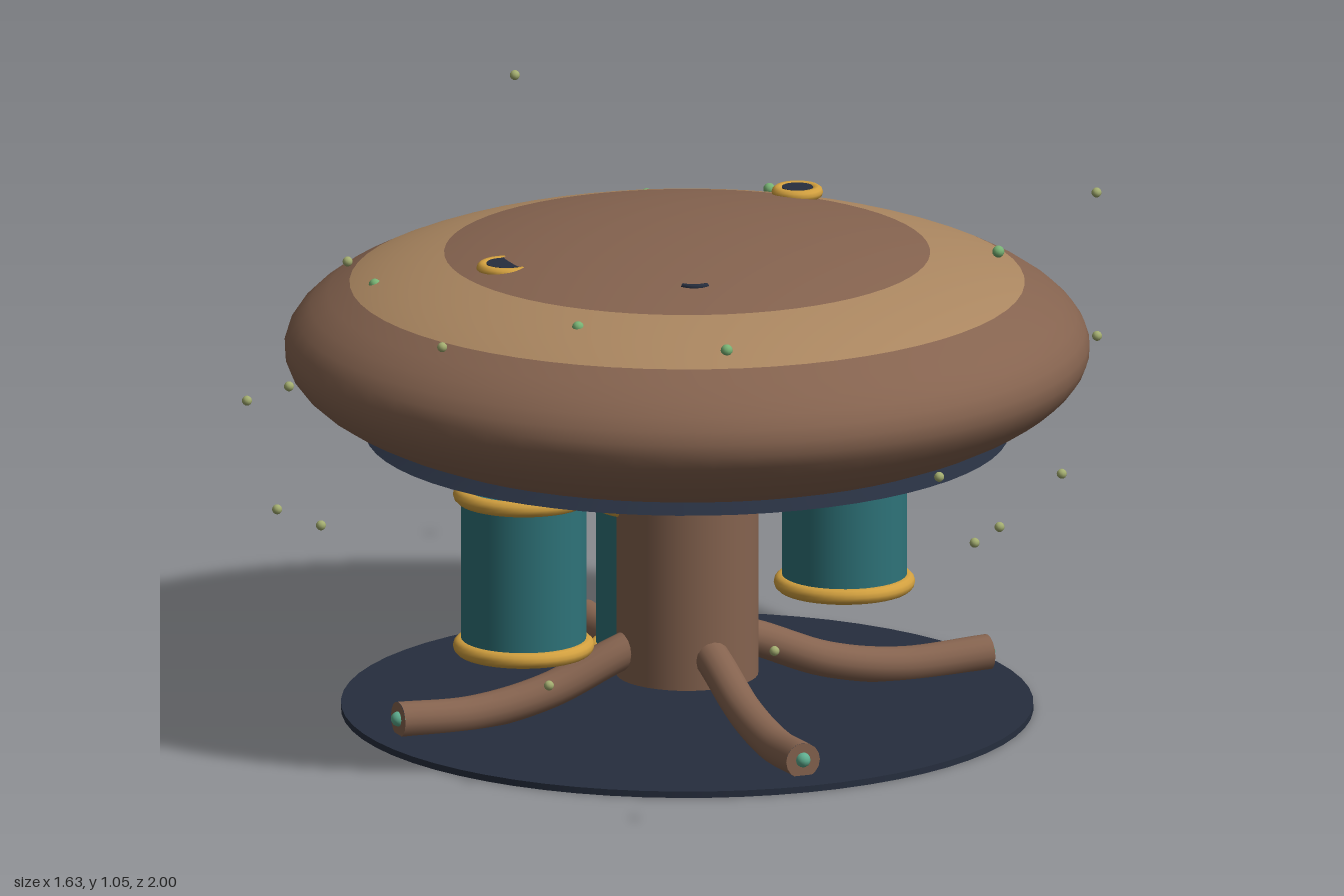
import * as THREE from 'three';

const paint = (name, color, side = THREE.FrontSide) => {
  const m = new THREE.MeshStandardMaterial({ color, side });
  m.name = name;
  return m;
};

export function createModel() {
  const model = new THREE.Group();
  const brown = paint('bark brown', 0x85634f);
  const tan = paint('tan', 0xaa8660);
  const navy = paint('dark navy', 0x262e3e);
  const teal = paint('teal', 0x2e7379);
  const gold = paint('gold', 0xd2a03f);
  const mint = paint('mint', 0x5fae90);
  const green = paint('spore green', 0x78b274);
  const olive = paint('spore olive', 0xa3ad70);

  const body = new THREE.Group();
  body.name = 'mushroom';
  body.position.set(0.007, 0, -0.02);
  model.add(body);

  const add = (parent, name, geometry, material, x = 0, y = 0, z = 0) => {
    const mesh = new THREE.Mesh(geometry, material);
    mesh.name = name;
    mesh.position.set(x, y, z);
    parent.add(mesh);
    return mesh;
  };

  // Cap: one flattened ball, cut into coloured bands by height
  const capR = 0.797, capH = 0.242, capY = 0.748;
  const capBand = (name, y0, y1, material) => {
    const a0 = Math.asin((y0 - capY) / capH), a1 = Math.asin((y1 - capY) / capH);
    const points = [];
    for (let i = 0; i <= 20; i++) {
      const a = a0 + (a1 - a0) * i / 20;
      points.push(new THREE.Vector2(Math.max(0, capR * Math.cos(a)), capY + capH * Math.sin(a)));
    }
    add(body, name, new THREE.LatheGeometry(points, 64), material);
  };
  capBand('capLower', capY - capH, 0.88, brown);
  capBand('capBand', 0.88, 0.941, tan);
  capBand('capTop', 0.941, capY + capH, brown);

  // Collar under the cap, stem and ground disc
  add(body, 'collar', new THREE.CylinderGeometry(0.6, 0.637, 0.02, 64), navy, 0, 0.582, 0);
  add(body, 'stem', new THREE.CylinderGeometry(0.141, 0.141, 0.47, 40), brown, 0, 0.315, 0);
  add(body, 'groundDisc', new THREE.CylinderGeometry(0.685, 0.685, 0.013, 64), navy, 0, 0.0135, 0);

  // Roots: sagging tubes with a small bud at the tip
  const rootTips = [[0.635, 0.15], [-0.16, 0.585], [-0.605, -0.15], [0.165, -0.55]];
  for (const [x, z] of rootTips) {
    const len = Math.hypot(x, z);
    const root = new THREE.Group();
    root.name = 'root';
    root.rotation.y = Math.atan2(-z, x);
    const path = new THREE.CatmullRomCurve3([
      [0.04, 0.17], [0.15, 0.135], [0.3, 0.075], [0.46, 0.046], [len, 0.05],
    ].map(([r, y]) => new THREE.Vector3(r, y, 0)));
    add(root, 'rootTube', new THREE.TubeGeometry(path, 32, 0.036, 16), brown);
    add(root, 'rootEnd', new THREE.CircleGeometry(0.036, 16), brown, len, 0.05, 0).rotation.y = Math.PI / 2;
    add(root, 'rootBud', new THREE.SphereGeometry(0.015, 12, 8), mint, len, 0.052, 0);
    body.add(root);
  }

  // Hanging lanterns with gold rims, each on a sagging vine
  const lanterns = [[-0.4, 0.355, -0.01], [0.4, 0.355, -0.01], [0, 0.265, -0.093]];
  for (const [x, y, z] of lanterns) {
    const lantern = new THREE.Group();
    lantern.name = 'lantern';
    lantern.position.set(x, y, z);
    add(lantern, 'lanternBody', new THREE.CylinderGeometry(0.124, 0.124, 0.31, 40), teal);
    for (const s of [-1, 1]) {
      add(lantern, 'lanternRim', new THREE.TorusGeometry(0.124, 0.016, 12, 40), gold, 0, s * 0.155, 0)
        .rotation.x = Math.PI / 2;
    }
    body.add(lantern);
    const vine = new THREE.QuadraticBezierCurve3(
      new THREE.Vector3(0, 0.53, 0),
      new THREE.Vector3(x * 0.55, 0.475, z * 0.5),
      new THREE.Vector3(x, y + 0.185, z));
    add(body, 'vine', new THREE.TubeGeometry(vine, 24, 0.019, 10), mint);
  }

  // Eyes lying on the cap, the second sunk on its inner side
  const eye = (x, y, z, r, tilt) => {
    const g = new THREE.Group();
    g.name = 'eye';
    g.position.set(x, y, z);
    g.rotation.z = tilt;
    add(g, 'eyeRim', new THREE.TorusGeometry(r, 0.012, 10, 32), gold).rotation.x = Math.PI / 2;
    add(g, 'pupil', new THREE.CylinderGeometry(r - 0.008, r - 0.008, 0.009, 24), navy, 0, 0.006, 0);
    model.add(g);
  };
  eye(0.433, 0.953, -0.217, 0.039, 0);
  eye(-0.37, 0.95, -0.115, 0.048, 0);

  // Small mouth arc
  const mouth = add(model, 'mouth', new THREE.TorusGeometry(0.035, 0.006, 6, 16, 1.5), navy, -0.178, 0.965, 0.243);
  mouth.rotation.set(Math.PI / 2, 0, 1.4);

  // Spores drifting around the cap
  const spores = [
    [0.69, 1.045, 0.42], [-0.805, 1.045, -0.065], [0.322, 1.045, -0.99],
    [0.63, 0.72, -0.828], [-0.14, 0.72, 0.99], [-0.74, 0.72, -0.34],
    [0.085, 0.56, 0.893], [0.68, 0.56, -0.25], [-0.51, 0.56, -0.776],
    [-0.47, 0.395, 0.885], [-0.593, 0.395, -0.57], [0.803, 0.395, 0.16],
    [-0.61, 0.23, 0.335], [0.72, 0.23, -0.015], [-0.225, 0.23, -0.907],
    [0.388, 0.885, 0.815], [-0.692, 0.885, 0.095],
  ];
  for (const [x, y, z] of spores) add(model, 'spore', new THREE.SphereGeometry(0.01, 10, 8), olive, x, y, z);

  // Spores settled on the cap
  const settled = [
    [0.545, 0.92, 0.29], [0.556, 0.885, -0.468], [-0.305, 0.905, 0.515], [0.32, 0.893, -0.56],
    [-0.53, 0.895, -0.335], [-0.47, 0.922, 0.247], [0.48, 0.92, -0.297],
  ];
  for (const [x, y, z] of settled) add(model, 'settledSpore', new THREE.SphereGeometry(0.012, 10, 8), green, x, y, z);

  return model;
}
